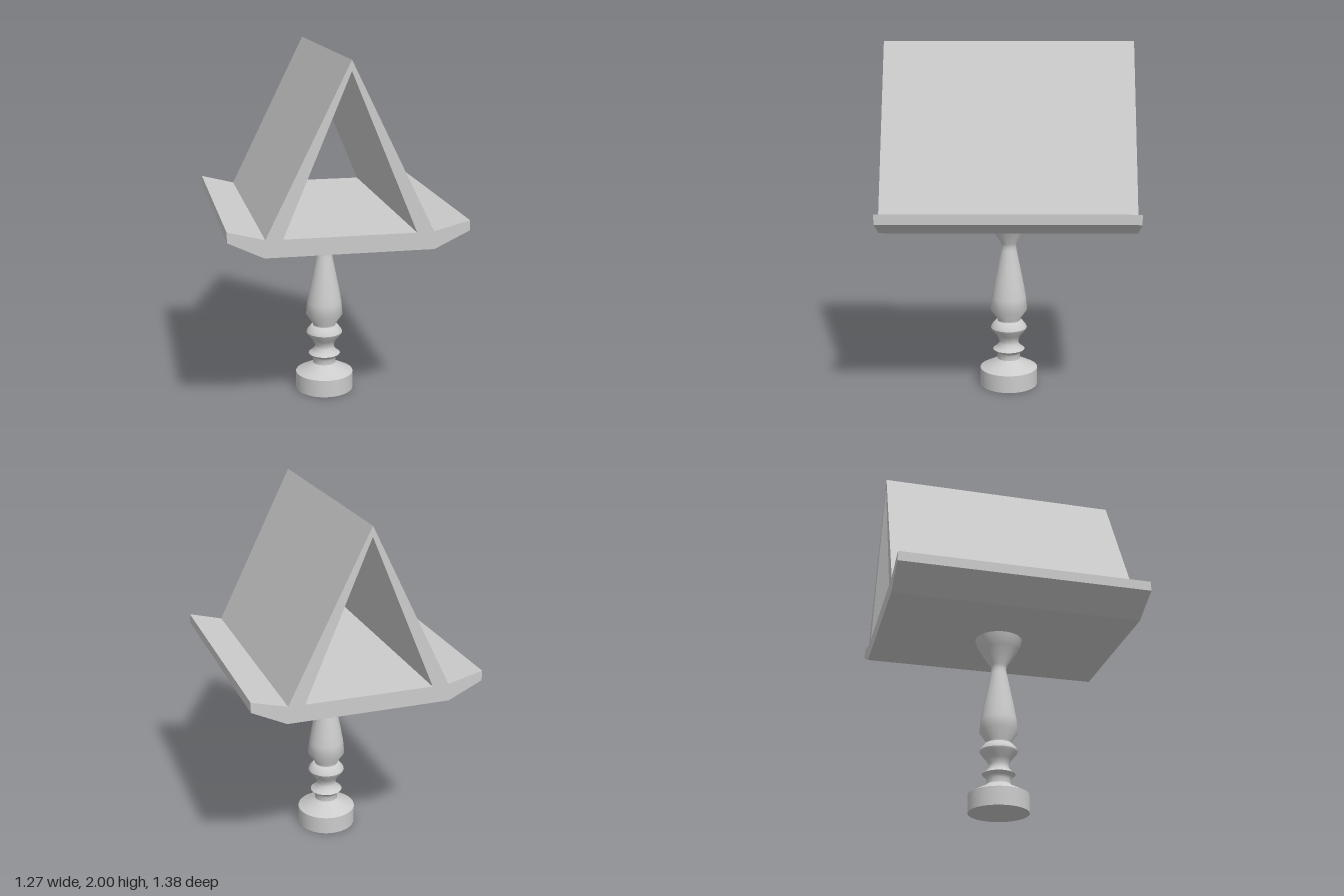
import * as THREE from 'three';
import { toCreasedNormals } from 'three/addons/utils/BufferGeometryUtils.js';

const material = new THREE.MeshStandardMaterial({ color: 0xcccccc });
const vec = ([x, y]) => new THREE.Vector2(x, y);

// Tent-shaped top: constant section with a triangular opening and upturned eaves
function createTop() {
  const half = [[0.44, 1.11], [0.633, 1.16], [0.633, 1.105], [0.445, 1.015]];
  const mirrored = half.map(([x, y]) => [-x, y]).reverse();
  const section = new THREE.Shape([[0, 2], ...half, ...mirrored].map(vec));
  section.holes.push(new THREE.Path([[0, 1.945], [-0.35, 1.108], [0.35, 1.108]].map(vec)));
  const depth = 1.38;
  const geometry = new THREE.ExtrudeGeometry(section, { depth, bevelEnabled: false });
  geometry.translate(0, 0, -depth / 2);
  const top = new THREE.Mesh(geometry, material);
  top.name = 'tentTop';
  return top;
}

// Turned pedestal, profile from the foot upwards
function createPedestal() {
  const profile = [
    [0, 0], [0.167, 0], [0.167, 0.102], // foot
    [0.078, 0.148], [0.067, 0.158], [0.065, 0.185], // foot slope and lower neck
    [0.073, 0.2], [0.092, 0.215], [0.075, 0.228], // small ring
    [0.056, 0.25], [0.056, 0.272], [0.07, 0.3], // neck between rings
    [0.1, 0.335], [0.105, 0.347], [0.1, 0.36], [0.078, 0.387], [0.067, 0.39], // large ring
    [0.067, 0.4], [0.107, 0.458], // vase shoulder
    [0.1, 0.53], [0.086, 0.61], [0.066, 0.71], [0.046, 0.81], // tapering vase
    [0.042, 0.832], [0.046, 0.855], // slim neck
    [0.107, 0.95], [0.125, 0.99], [0.134, 1.018], [0, 1.018], // flared capital
  ];
  const geometry = toCreasedNormals(new THREE.LatheGeometry(profile.map(vec), 48), 0.75);
  const pedestal = new THREE.Mesh(geometry, material);
  pedestal.name = 'pedestal';
  return pedestal;
}

export function createModel() {
  const model = new THREE.Group();
  model.name = 'tentOnPedestal';
  model.add(createTop(), createPedestal());
  return model;
}
